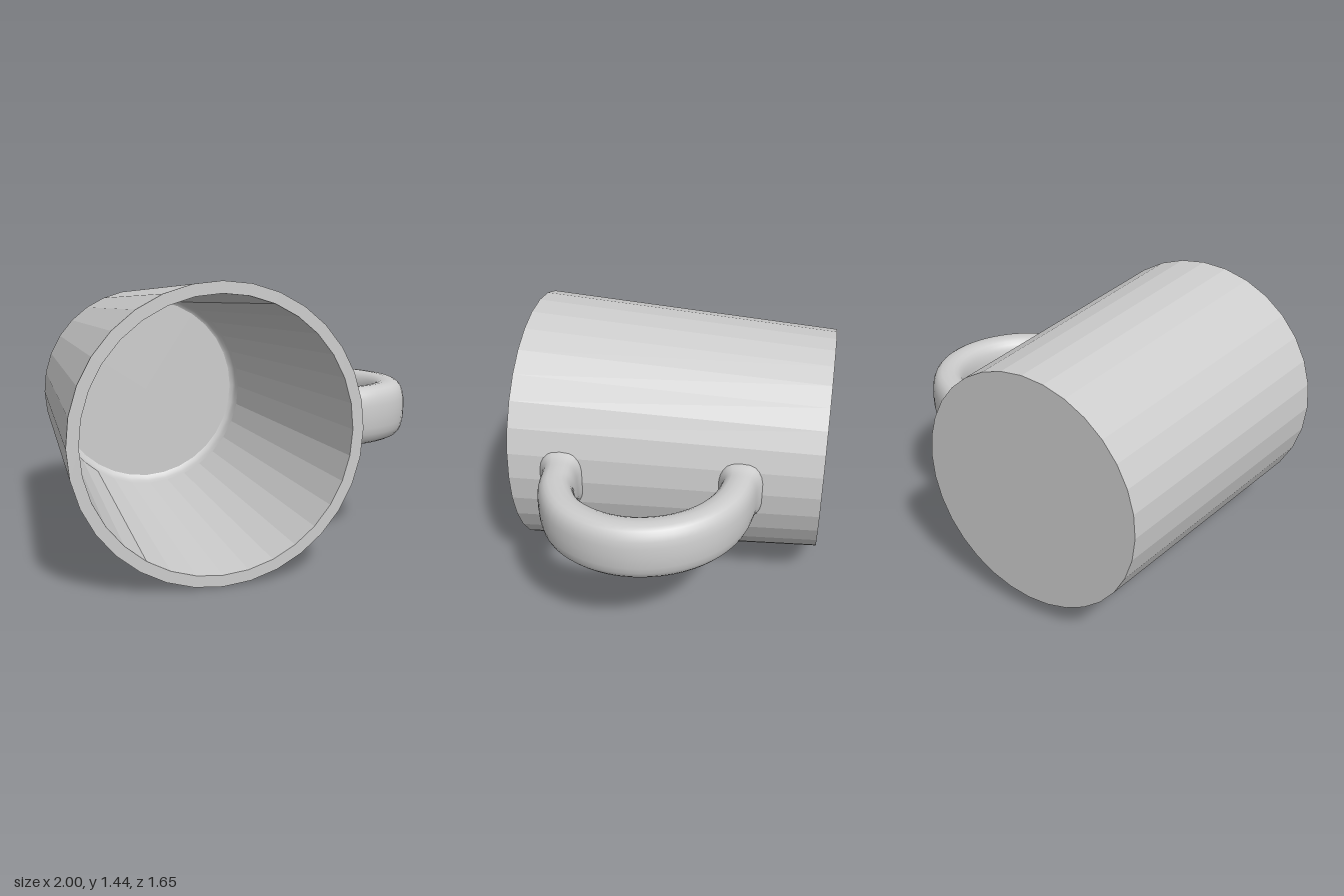
import * as THREE from 'three';
import { ParametricGeometry } from 'three/addons/geometries/ParametricGeometry.js';

const SIDES = 32;
const CENTRE_X = -0.278, CENTRE_Y = 0.722;

// Revolves [radius, z] pairs around the mug's axis, which runs along z.
function revolve(points, faceted) {
  let geometry = new THREE.LatheGeometry(points.map(([r, z]) => new THREE.Vector2(r, z)), SIDES);
  if (faceted) {
    geometry = geometry.toNonIndexed();
    geometry.computeVertexNormals();
  }
  return geometry.rotateX(Math.PI / 2).translate(CENTRE_X, CENTRE_Y, 0);
}

// Sweeps a rounded, tall cross-section along the handle's planar path.
function handleGeometry() {
  const path = new THREE.CatmullRomCurve3([
    [0.335, -0.405], [0.45, -0.402], [0.6, -0.365], [0.75, -0.27], [0.86, -0.12], [0.908, 0.07],
    [0.88, 0.25], [0.78, 0.41], [0.62, 0.505], [0.5, 0.525], [0.39, 0.54],
  ].map(([x, z]) => new THREE.Vector3(x, 0.727, z)));
  const length = path.getLength();
  const soften = (c) => Math.sign(c) * Math.pow(Math.abs(c), 0.72);

  return new ParametricGeometry((u, v, target) => {
    // Rings crowd towards both ends, where the handle flares into the wall
    const t = THREE.MathUtils.lerp(v, (1 - Math.cos(Math.PI * v)) / 2, 0.75);
    const p = path.getPointAt(t);
    const tangent = path.getTangentAt(t);
    const fromEnd = Math.min(t, 1 - t) * length;
    const flare = 0.03 * Math.exp(-Math.pow(fromEnd / 0.05, 2));
    const angle = u * Math.PI * 2;
    const across = soften(Math.cos(angle)) * (0.094 + flare);
    const up = soften(Math.sin(angle)) * (0.152 + flare * 0.4);
    target.set(p.x + tangent.z * across, p.y + up, p.z - tangent.x * across);
  }, 24, 48);
}

export function createModel() {
  const group = new THREE.Group();
  const ceramic = new THREE.MeshStandardMaterial({ color: 0xcccccc });
  ceramic.name = 'light grey ceramic';

  const add = (name, geometry) => {
    const mesh = new THREE.Mesh(geometry, ceramic);
    mesh.name = name;
    group.add(mesh);
  };

  // Closed base, tapered outer wall, flat rim and inner wall
  add('base', revolve([[0, -0.826], [0.62, -0.826]], true));
  add('outerWall', revolve([[0.62, -0.826], [0.722, 0.826]], true));
  add('rim', revolve([[0.722, 0.826], [0.665, 0.826]], true));
  add('innerWall', revolve([[0.665, 0.826], [0.592, -0.66]], true));

  // Rounded corner between the inner wall and the floor
  add('innerFillet', revolve([[0.592, -0.66], [0.589, -0.7], [0.579, -0.725], [0.56, -0.735]], false));
  add('floor', revolve([[0.56, -0.735], [0, -0.735]], true));

  add('handle', handleGeometry());
  return group;
}
